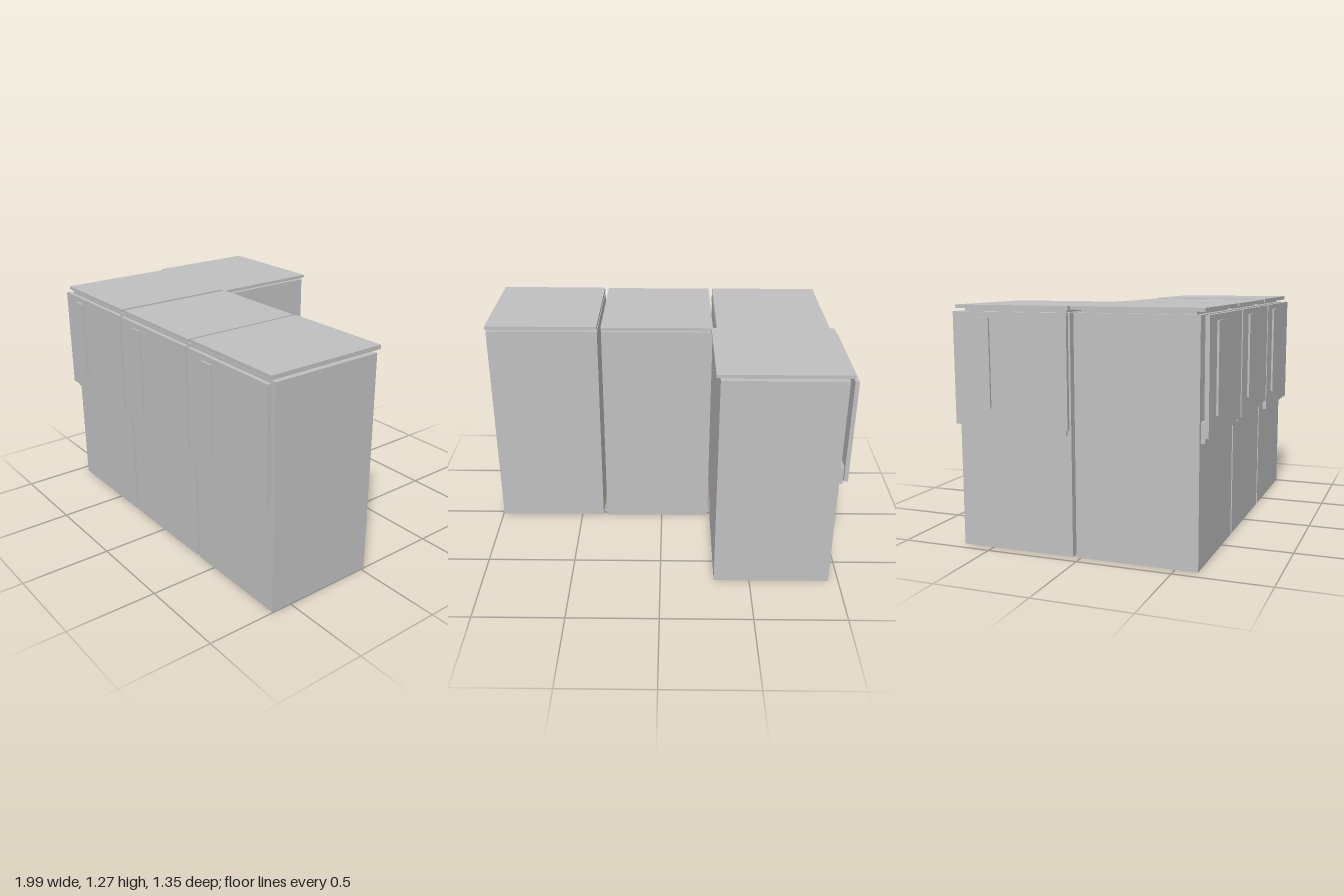
import * as THREE from 'three';

const grey = new THREE.MeshStandardMaterial({ color: 0xc0c0c0 });
grey.name = 'light grey';

// Box given by its two extreme corners
function box(name, x0, x1, y0, y1, z0, z1) {
  const mesh = new THREE.Mesh(new THREE.BoxGeometry(x1 - x0, y1 - y0, z1 - z0), grey);
  mesh.name = name;
  mesh.position.set((x0 + x1) / 2, (y0 + y1) / 2, (z0 + z1) / 2);
  return mesh;
}

// Cabinet facing +z: x starts at its left edge, z = 0 is the middle of the body depth
function cabinet(name, { doorBottom, handleBottom, handleX, topY, rail }) {
  const g = new THREE.Group();
  g.name = name;
  const w = 0.63, d = 0.321;
  g.add(
    box('body', 0, w, 0, 1.235, -d, d),
    box('worktopSpacer', 0.028, w - 0.03, 1.235, 1.25, -d + 0.028, d - 0.028),
    box('worktop', 0, w, 1.25, topY, -d - 0.022, d + 0.022),
    box('door', 0, w, doorBottom, 1.235, d + 0.022, d + 0.044),
    box('handle', handleX, handleX + 0.08, handleBottom, 1.205, d + 0.044, d + 0.055)
  );
  // Rail peeking out below the door
  if (rail) g.add(box('doorRail', 0.02, w - 0.02, 0.63, 0.732, d, d + 0.022));
  return g;
}

export function createModel() {
  const model = new THREE.Group();
  model.name = 'cornerCabinets';
  const short = { doorBottom: 0.658, handleBottom: 0.748, handleX: 0.128, topY: 1.268, rail: true };
  const tall = { doorBottom: 0.6, handleBottom: 0.697, handleX: 0.128, topY: 1.272, rail: false };

  // Front row
  const row = [
    ['cornerCabinet', short, -0.94],
    ['middleCabinet', short, -0.287],
    ['endCabinet', tall, 0.366]
  ];
  for (const [name, spec, x] of row) {
    const c = cabinet(name, spec);
    c.position.set(x, 0, 0.296);
    model.add(c);
  }

  // Rear cabinet, turned to face -x
  const rear = cabinet('rearCabinet', short);
  rear.rotation.y = -Math.PI / 2;
  rear.position.set(-0.622, 0, -0.673);
  model.add(rear);
  return model;
}
